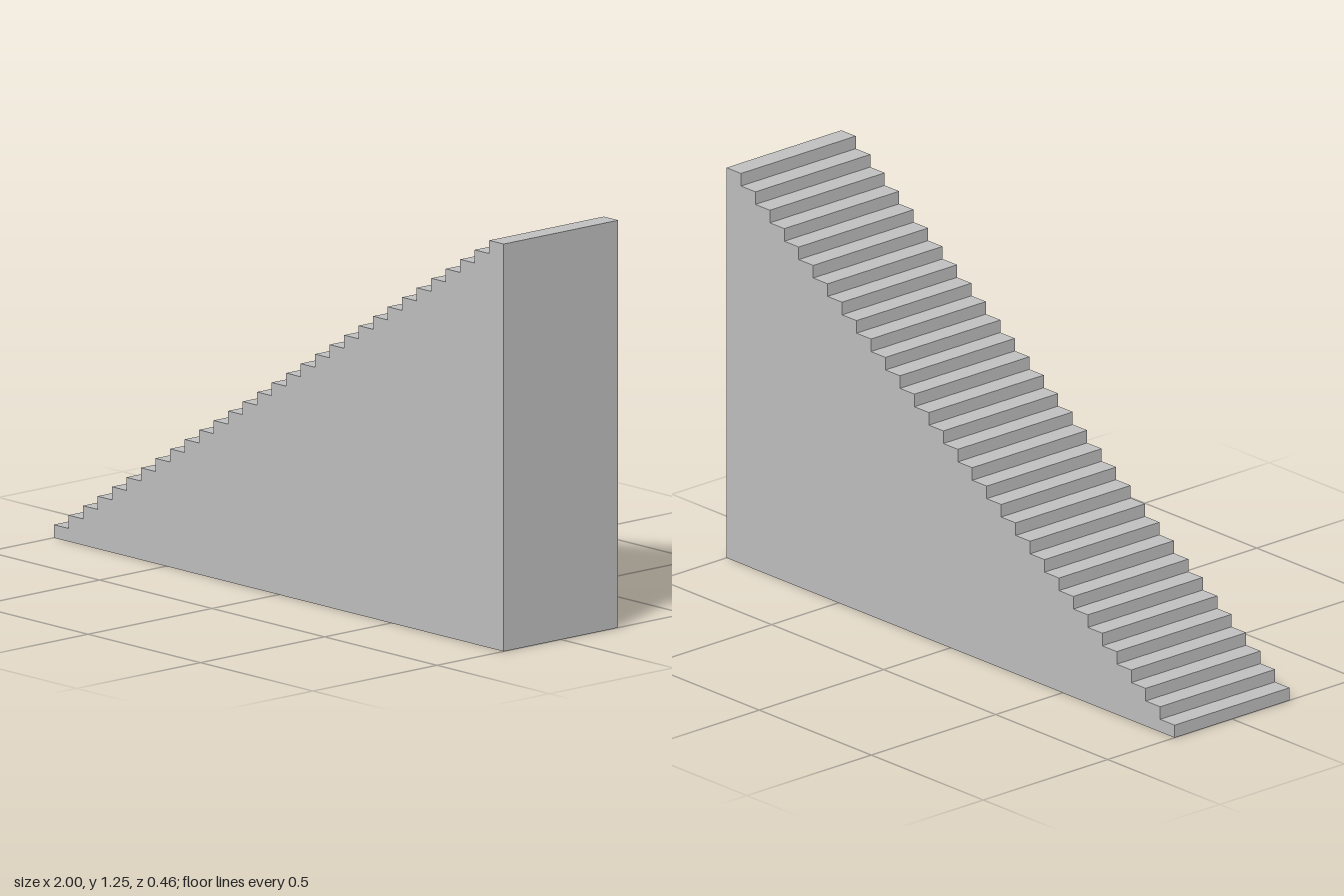
import * as THREE from 'three';

const STEPS = 31, LENGTH = 2, HEIGHT = 1.25, WIDTH = 0.462;

export function createModel() {
  const group = new THREE.Group();
  group.name = 'staircase';
  const stone = new THREE.MeshStandardMaterial({ color: 0xc0c0c0 });
  stone.name = 'light grey';

  // Solid stair profile: flat base, vertical back, equal risers and treads
  const run = LENGTH / STEPS, rise = HEIGHT / STEPS;
  const profile = new THREE.Shape();
  profile.moveTo(-LENGTH / 2, 0);
  profile.lineTo(LENGTH / 2, 0);
  for (let i = STEPS; i > 0; i--) {
    profile.lineTo(-LENGTH / 2 + i * run, i * rise);
    profile.lineTo(-LENGTH / 2 + (i - 1) * run, i * rise);
  }
  profile.closePath();

  // Extrude across the width and centre on z
  const geometry = new THREE.ExtrudeGeometry(profile, { depth: WIDTH, bevelEnabled: false });
  geometry.translate(0, 0, -WIDTH / 2);
  const stairs = new THREE.Mesh(geometry, stone);
  stairs.name = 'solidStairs';
  group.add(stairs);
  return group;
}
